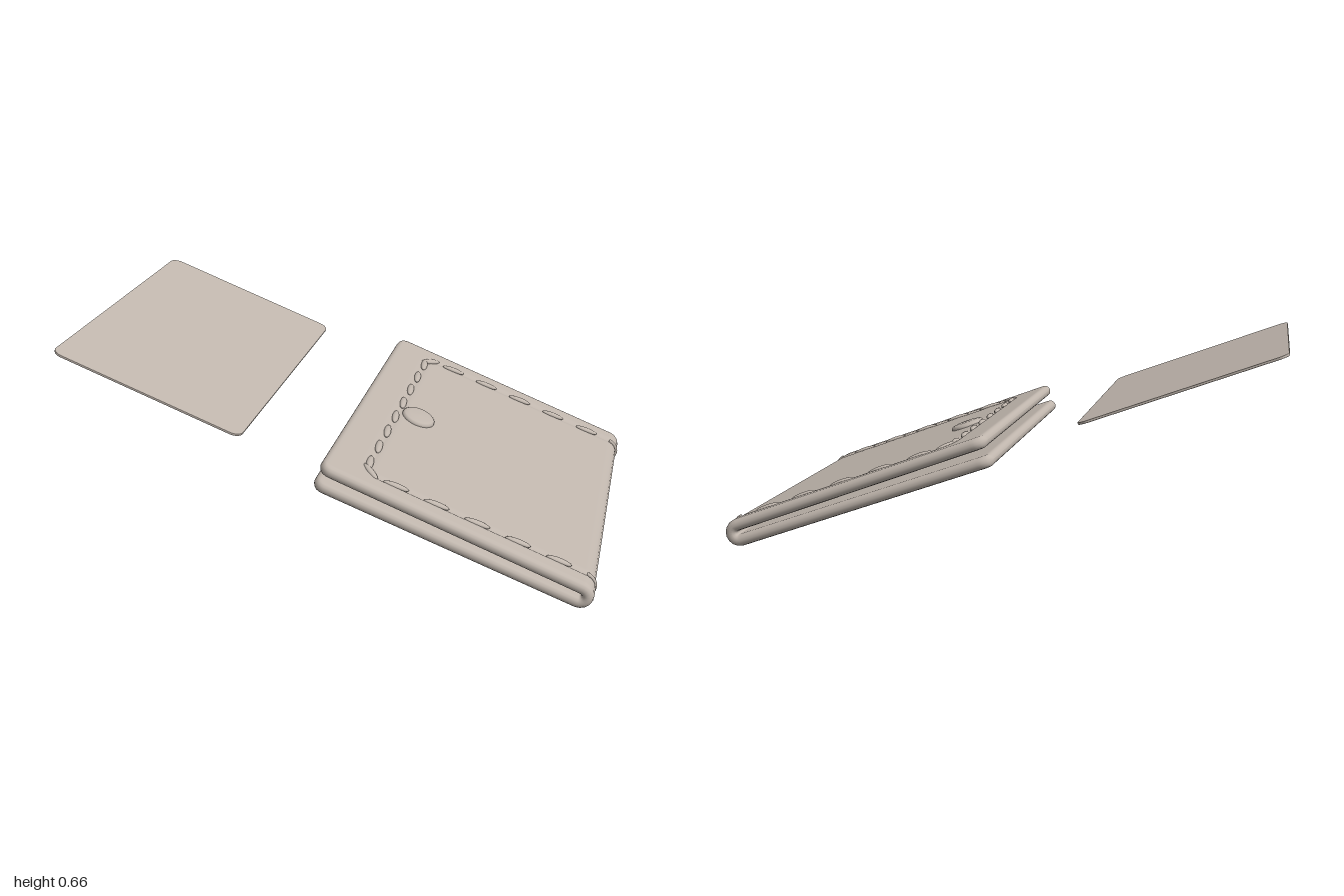
import * as THREE from 'three';

const HALF_W = 0.555, OPEN_Z = -0.455, FOLD_Z = 0.412; // wallet plan
const R = 0.025, T = 0.019;                            // fold radius, half leaf thickness
const LEAF = FOLD_Z - OPEN_Z, TOTAL = 2 * LEAF + Math.PI * R;
const SEAM_X = 0.477, SEAM_E = 0.13, SEAM_R = 0.05;    // stitched seam outline

// Centre line of the folded sheet: top leaf, round the fold, bottom leaf
function centre(s) {
  const splay = (e) => R + 0.005 * (1 - e / LEAF);
  if (s <= LEAF) return { y: splay(s), z: OPEN_Z + s, ny: 1, nz: 0 };
  if (s >= TOTAL - LEAF) return { y: -splay(TOTAL - s), z: OPEN_Z + TOTAL - s, ny: -1, nz: 0 };
  const a = (s - LEAF) / R;
  return { y: R * Math.cos(a), z: FOLD_Z + R * Math.sin(a), ny: Math.cos(a), nz: Math.sin(a) };
}

// Groove along the seam and a slightly sunken panel inside it
function relief(x, e) {
  const dx = SEAM_X - Math.abs(x), dz = e - SEAM_E;
  const d = dx < SEAM_R && dz < SEAM_R
    ? SEAM_R - Math.hypot(SEAM_R - dx, SEAM_R - dz) : Math.min(dx, dz);
  return -0.007 * Math.exp(-((d / 0.009) ** 2)) - 0.003 * THREE.MathUtils.smoothstep(d, -0.005, 0.015);
}

// Sheet swept along the centre line with rounded rims and corners
function walletGeometry() {
  const stops = [], CAP = 6, RUN = 190, NX = 140, NI = 10, NC = 6, corner = 0.04;
  for (let i = 0; i < CAP; i++) stops.push(T * (1 - Math.cos((i / CAP) * Math.PI / 2)));
  for (let i = 0; i <= RUN; i++) stops.push(T + (TOTAL - 2 * T) * i / RUN);
  for (let i = CAP - 1; i >= 0; i--) stops.push(TOTAL - stops[i]);
  const pos = [], idx = [];
  let n = 0;
  for (const s of stops) {
    const e = Math.min(s, TOTAL - s), c = centre(s);
    const t = e < T ? Math.sqrt(Math.max(0, T * T - (T - e) ** 2)) : T;
    const w = e < corner ? HALF_W - corner + Math.sqrt(corner ** 2 - (corner - e) ** 2) : HALF_W;
    const flat = w - T, ring = [];
    for (let i = 0; i <= NX; i++) {
      const x = flat * (2 * i / NX - 1);
      ring.push([x, t + relief(x, e)]);
    }
    for (let i = 1; i < NC; i++) {
      const a = Math.PI * i / NC;
      ring.push([flat + T * Math.sin(a), t * Math.cos(a)]);
    }
    for (let i = 0; i <= NI; i++) ring.push([flat * (1 - 2 * i / NI), -t]);
    for (let i = 1; i < NC; i++) {
      const a = Math.PI * i / NC;
      ring.push([-flat - T * Math.sin(a), -t * Math.cos(a)]);
    }
    n = ring.length;
    for (const [x, h] of ring) pos.push(x, c.y + c.ny * h, c.z + c.nz * h);
  }
  for (let i = 0; i < stops.length - 1; i++) for (let j = 0; j < n; j++) {
    const a = i * n + j, b = a + n, c = i * n + (j + 1) % n, d = c + n;
    idx.push(a, b, c, b, d, c);
  }
  const g = new THREE.BufferGeometry();
  g.setAttribute('position', new THREE.Float32BufferAttribute(pos, 3));
  g.setIndex(idx);
  g.computeVertexNormals();
  return g;
}

// Thin card with rounded corners, lying flat
function cardGeometry() {
  const w = 0.498, h = 0.323, r = 0.032, s = new THREE.Shape();
  s.absarc(w - r, h - r, r, 0, Math.PI / 2);
  s.absarc(-w + r, h - r, r, Math.PI / 2, Math.PI);
  s.absarc(-w + r, -h + r, r, Math.PI, Math.PI * 1.5);
  s.absarc(w - r, -h + r, r, Math.PI * 1.5, Math.PI * 2);
  const g = new THREE.ExtrudeGeometry(s, {
    depth: 0.004, bevelThickness: 0.002, bevelSize: 0.002, bevelSegments: 2, curveSegments: 8,
  });
  return g.translate(0, 0, -0.002).rotateX(-Math.PI / 2);
}

export function createModel() {
  const model = new THREE.Group();
  model.name = 'walletAndCard';
  const leather = new THREE.MeshStandardMaterial({ color: 0xc0b6ad });
  leather.name = 'warm grey';
  const add = (parent, name, geometry) => {
    const m = new THREE.Mesh(geometry, leather);
    m.name = name;
    parent.add(m);
    return m;
  };

  // Shared tilt of wallet and card
  const u = new THREE.Vector3(0.64, -0.0225, -0.766).normalize();
  const up = u.clone().cross(new THREE.Vector3(-0.723, 0.34, -0.602)).normalize();
  const tilt = new THREE.Quaternion().setFromRotationMatrix(
    new THREE.Matrix4().makeBasis(u, up, u.clone().cross(up)));

  const wallet = new THREE.Group();
  wallet.name = 'wallet';
  wallet.quaternion.copy(tilt);
  wallet.position.set(0.3075, 0.197, 0.25);
  model.add(wallet);
  add(wallet, 'foldedBody', walletGeometry());

  // Stitches on both faces: [x, distance from open edge, heading]
  const spots = [];
  for (let i = 0; i < 8; i++) spots.push([(i - 3.5) * 0.118, SEAM_E, 0.12]);
  for (const side of [-1, 1]) {
    spots.push([side * (SEAM_X - 0.015), SEAM_E + 0.015, -side * Math.PI / 4]);
    for (let k = 0; k < 5; k++) spots.push([side * SEAM_X, 0.235 + 0.135 * k, Math.PI / 2 + 0.12]);
  }
  const stitch = new THREE.SphereGeometry(1, 16, 10).scale(0.042, 0.009, 0.012);
  for (const face of [1, -1]) for (const [x, e, heading] of spots) {
    const m = add(wallet, 'stitch', stitch);
    m.position.set(x, face * (centre(e).y + T - 0.003), OPEN_Z + e);
    m.rotation.y = heading;
  }

  // Thread wrapping round the fold at each end of the seam
  for (const side of [-1, 1]) {
    const thread = add(wallet, 'foldThread',
      new THREE.TorusGeometry(R + T - 0.004, 0.007, 8, 24, Math.PI).rotateZ(-Math.PI / 2).rotateY(-Math.PI / 2));
    thread.position.set(side * SEAM_X, 0, FOLD_Z);
  }

  // Snap button on the upper leaf
  const profile = [[0, 0.016], [0.035, 0.015], [0.05, 0.012], [0.056, 0.007], [0.057, 0], [0.055, -0.008]]
    .map(([x, y]) => new THREE.Vector2(x, y)).reverse();
  const button = add(wallet, 'snapButton', new THREE.LatheGeometry(profile, 40));
  button.position.set(0, R + T, -0.255);

  // Loose card
  const card = add(model, 'card', cardGeometry());
  card.quaternion.copy(tilt);
  card.position.set(-0.4475, 0.539, -0.3875);
  return model;
}
